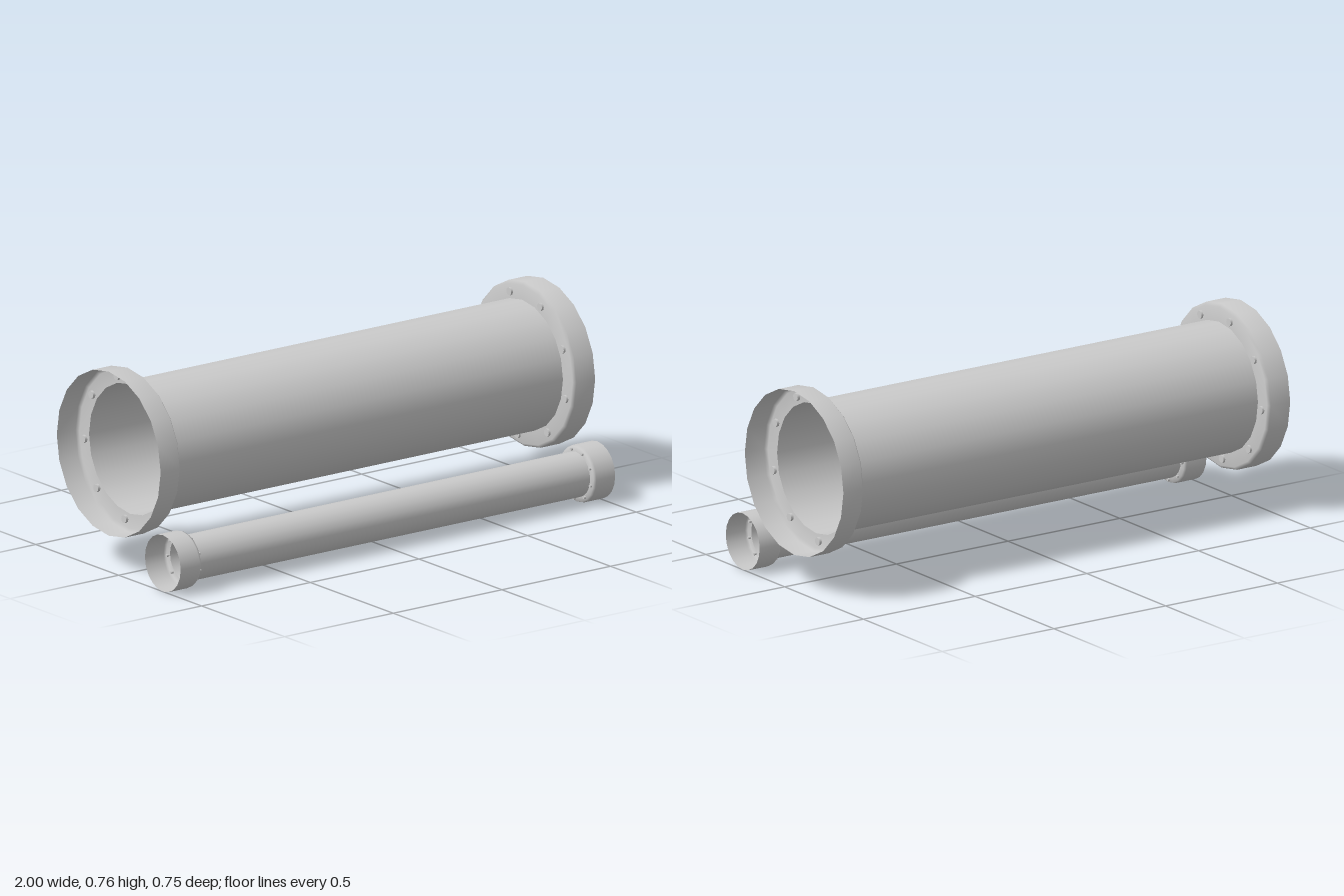
import * as THREE from 'three';

const SIDES = 20;
const grey = new THREE.MeshStandardMaterial({ color: 0xcccccc, side: THREE.DoubleSide });

// Turn a [x, radius] profile around the x axis
function turned(name, profile) {
  const geo = new THREE.LatheGeometry(profile.map(([x, r]) => new THREE.Vector2(r, x)), SIDES);
  geo.rotateZ(-Math.PI / 2);
  const mesh = new THREE.Mesh(geo, grey);
  mesh.name = name;
  return mesh;
}

// Thin cupped flange at the +x end, with a ring of nine bolts
function makeFlange() {
  const flange = new THREE.Group();
  flange.name = 'flange';
  flange.add(turned('flangeCup', [[0.902, 0.247], [0.904, 0.302], [0.914, 0.313], [1, 0.313]]));
  const boltGeo = new THREE.CylinderGeometry(0.015, 0.015, 0.018, 10);
  boltGeo.rotateZ(-Math.PI / 2);
  for (let i = 0; i < 9; i++) {
    const a = THREE.MathUtils.degToRad(25 + 40 * i);
    const bolt = new THREE.Mesh(boltGeo, grey);
    bolt.name = 'bolt';
    bolt.position.set(0.904, 0.272 * Math.sin(a), 0.272 * Math.cos(a));
    flange.add(bolt);
  }
  return flange;
}

// Open pipe with a flange at each end; girth scales the cross-section only
function makePipe(name, y, z, girth) {
  const pipe = new THREE.Group();
  pipe.name = name;
  pipe.add(turned('tube', [[-0.902, 0.247], [0.902, 0.247]]));
  for (const side of [1, -1]) {
    const flange = makeFlange();
    flange.scale.x = side;
    flange.name = side > 0 ? 'leftFlange' : 'rightFlange';
    pipe.add(flange);
  }
  pipe.scale.set(1, girth, girth);
  pipe.position.set(0, y, z);
  return pipe;
}

export function createModel() {
  const model = new THREE.Group();
  model.name = 'flangedPipes';
  model.add(makePipe('largePipe', 0.45, -0.06, 1));
  model.add(makePipe('smallPipe', 0.108, 0.266, 0.344));
  return model;
}
